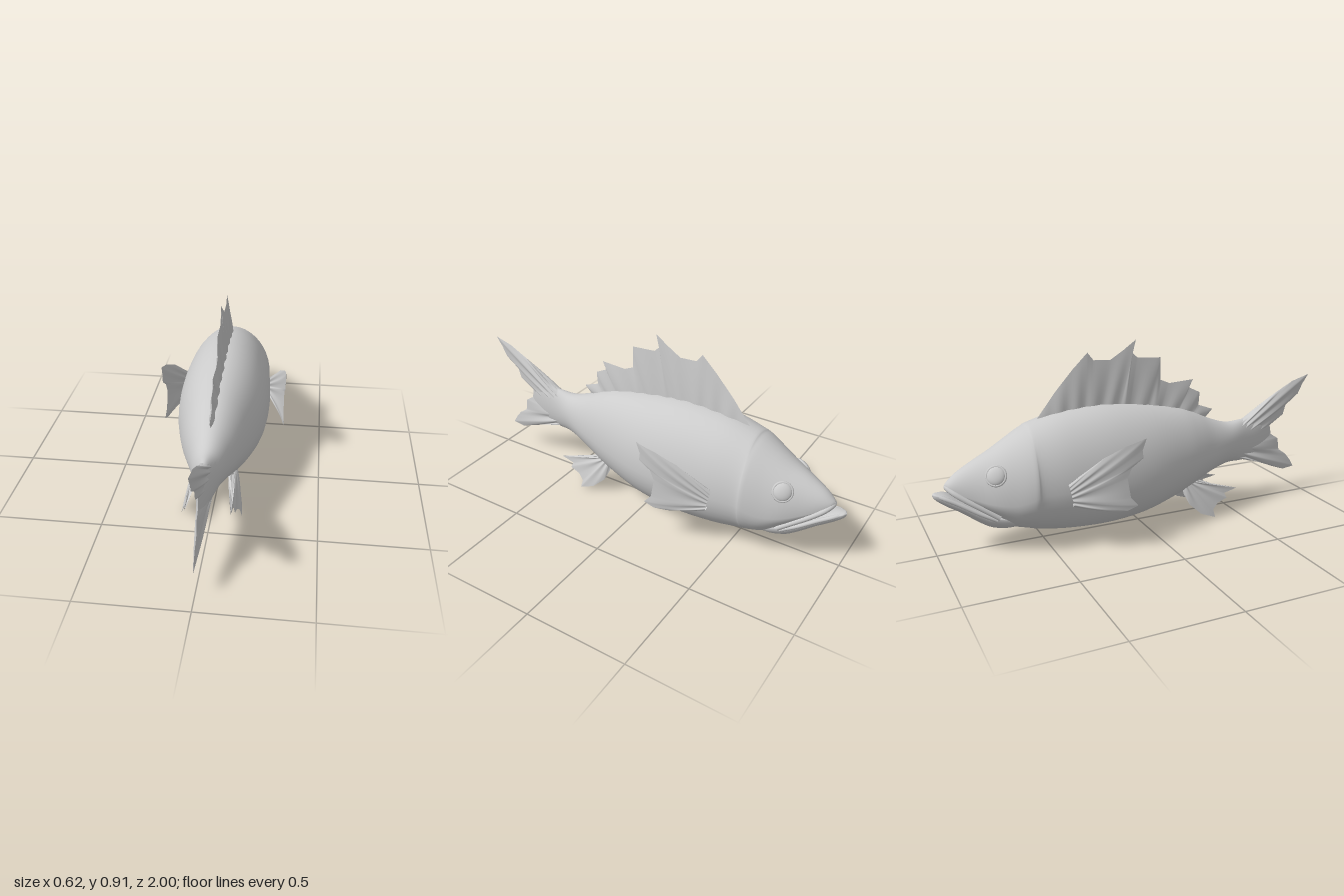
import * as THREE from 'three';

const material = new THREE.MeshStandardMaterial({ color: 0xcccccc, roughness: 0.8 });
const finMaterial = new THREE.MeshStandardMaterial({ color: 0xcccccc, roughness: 0.8, side: THREE.DoubleSide });

function addMesh(parent, name, geometry, mat = material) {
  const mesh = new THREE.Mesh(geometry, mat);
  mesh.name = name;
  parent.add(mesh);
  return mesh;
}

function gridGeometry(positions, indices) {
  const g = new THREE.BufferGeometry();
  g.setAttribute('position', new THREE.Float32BufferAttribute(positions, 3));
  g.setIndex(indices);
  g.computeVertexNormals();
  return g;
}

// Smooth loft through egg-shaped sections: [z, halfWidth, bottom, top, height of widest point 0..1]
function loft(sections, steps = 5, sides = 40) {
  const curve = (f) => new THREE.CatmullRomCurve3(sections.map(f), false, 'catmullrom', 0.5);
  const outline = curve(([z, , bottom, top]) => new THREE.Vector3(z, bottom, top));
  const girth = curve(([, w, , , m = 0.43]) => new THREE.Vector3(w, m, 0));
  const rows = (sections.length - 1) * steps;
  const pos = [], idx = [];
  for (let i = 0; i <= rows; i++) {
    const o = outline.getPoint(i / rows), g = girth.getPoint(i / rows);
    const mid = o.y + (o.z - o.y) * g.y;
    for (let j = 0; j < sides; j++) {
      const a = (j / sides) * Math.PI * 2, s = Math.sin(a);
      pos.push(g.x * Math.cos(a), mid + s * (s > 0 ? o.z - mid : mid - o.y), o.x);
      if (i < rows) {
        const k = (j + 1) % sides, p = i * sides, q = p + sides;
        idx.push(p + j, p + k, q + j, p + k, q + k, q + j);
      }
    }
  }
  return gridGeometry(pos, idx);
}

// Fin with rays from a straight base to a jagged edge, points as [z, y]; bend gives x
function fin(base, edge, { thick = 0.014, rays = 9, bend = () => 0 } = {}) {
  const pts = [], cells = 10, per = 6;
  for (let i = 0; i < edge.length - 1; i++)
    for (let k = 0; k < per; k++)
      pts.push(new THREE.Vector2(...edge[i]).lerp(new THREE.Vector2(...edge[i + 1]), k / per));
  pts.push(new THREE.Vector2(...edge[edge.length - 1]));
  const run = [0];
  for (let i = 1; i < pts.length; i++) run.push(run[i - 1] + pts[i].distanceTo(pts[i - 1]));
  const a = new THREE.Vector2(...base[0]), b = new THREE.Vector2(...base[1]);
  const pos = [], idx = [];
  for (const side of [1, -1]) {
    const start = pos.length / 3;
    pts.forEach((tip, i) => {
      const u = run[i] / run[run.length - 1];
      const root = a.clone().lerp(b, u);
      const body = Math.min(1, 0.15 + 10 * u, 0.15 + 10 * (1 - u)) * (1 + 0.2 * Math.sin(u * rays * Math.PI * 2));
      for (let j = 0; j <= cells; j++) {
        const v = j / cells, p = root.clone().lerp(tip, v);
        const half = thick * body * (1 - Math.pow(v, 1.7));
        pos.push(bend(p.x, p.y) + side * half, p.y, p.x);
        if (i < pts.length - 1 && j < cells) {
          const p0 = start + i * (cells + 1) + j, p1 = p0 + cells + 1;
          if (side > 0) idx.push(p0, p0 + 1, p1, p1, p0 + 1, p1 + 1);
          else idx.push(p0, p1, p0 + 1, p1, p1 + 1, p0 + 1);
        }
      }
    });
  }
  return gridGeometry(pos, idx);
}

// Lip running round the snout from one mouth corner to the other, half given as [x, y, z]
function lip(half, radius) {
  const left = half.map((p) => new THREE.Vector3(...p));
  const right = left.slice(1).reverse().map((p) => new THREE.Vector3(-p.x, p.y, p.z));
  return new THREE.TubeGeometry(new THREE.CatmullRomCurve3([...right, ...left]), 60, radius, 10);
}

export function createModel() {
  const fish = new THREE.Group();
  fish.name = 'fish';

  // Body with head, gill-cover step and tail stalk
  addMesh(fish, 'body', loft([
    [-0.945, 0.003, 0.322, 0.336, 0.3], [-0.93, 0.03, 0.308, 0.352, 0.3], [-0.89, 0.06, 0.275, 0.385, 0.25],
    [-0.82, 0.1, 0.225, 0.425, 0.25], [-0.74, 0.145, 0.165, 0.465, 0.3], [-0.66, 0.178, 0.105, 0.512, 0.36],
    [-0.6, 0.2, 0.085, 0.547, 0.4], [-0.57, 0.207, 0.076, 0.562], [-0.54, 0.203, 0.067, 0.577],
    [-0.4, 0.22, 0.045, 0.612], [-0.2, 0.228, 0.037, 0.625], [0, 0.213, 0.06, 0.605],
    [0.2, 0.168, 0.12, 0.565], [0.3, 0.138, 0.165, 0.53], [0.4, 0.103, 0.208, 0.483],
    [0.5, 0.07, 0.233, 0.451, 0.5], [0.6, 0.04, 0.233, 0.455, 0.5], [0.7, 0.02, 0.25, 0.45, 0.5],
    [0.77, 0.003, 0.3, 0.41, 0.5],
  ]));

  // Protruding lower jaw
  addMesh(fish, 'lowerJaw', loft([
    [-1, 0.003, 0.29, 0.3, 0.7], [-0.985, 0.024, 0.27, 0.304, 0.75], [-0.94, 0.047, 0.235, 0.295, 0.75],
    [-0.88, 0.072, 0.198, 0.262, 0.75], [-0.8, 0.095, 0.138, 0.22, 0.75], [-0.74, 0.112, 0.107, 0.2, 0.75],
    [-0.66, 0.12, 0.1, 0.2, 0.6], [-0.58, 0.08, 0.12, 0.2, 0.5],
  ]));

  // Lips
  addMesh(fish, 'upperLip', lip([[0, 0.325, -0.935], [0.04, 0.308, -0.915], [0.074, 0.27, -0.86],
    [0.1, 0.225, -0.79], [0.118, 0.185, -0.73]], 0.013));
  addMesh(fish, 'lowerLip', lip([[0, 0.294, -0.985], [0.034, 0.285, -0.955], [0.062, 0.253, -0.89],
    [0.09, 0.207, -0.81], [0.11, 0.172, -0.74]], 0.01));

  // Dorsal fin with spiny edge
  addMesh(fish, 'dorsalFin', fin([[-0.5, 0.57], [0.36, 0.48]], [
    [-0.505, 0.59], [-0.42, 0.7], [-0.33, 0.8], [-0.255, 0.873], [-0.225, 0.835], [-0.14, 0.83], [-0.075, 0.87],
    [-0.01, 0.915], [-0.03, 0.855], [0, 0.828], [0.12, 0.82], [0.12, 0.71], [0.17, 0.688], [0.3, 0.695],
    [0.28, 0.655], [0.34, 0.625], [0.335, 0.56], [0.415, 0.53], [0.37, 0.485],
  ], { thick: 0.017, rays: 11 }), finMaterial);

  // Forked tail fin
  addMesh(fish, 'tailFin', fin([[0.56, 0.44], [0.56, 0.245]], [
    [0.61, 0.457], [0.69, 0.497], [0.8, 0.577], [0.9, 0.627], [1, 0.655], [0.965, 0.605], [0.94, 0.555], [0.865, 0.5],
    [0.85, 0.45], [0.77, 0.4], [0.78, 0.35], [0.825, 0.32], [0.835, 0.257], [0.88, 0.225], [0.91, 0.19],
    [0.935, 0.148], [0.87, 0.14], [0.8, 0.165], [0.72, 0.2], [0.61, 0.232],
  ], { thick: 0.026, rays: 8 }), finMaterial);

  for (const side of [1, -1]) {
    const label = side > 0 ? 'left' : 'right';

    // Pectoral fin, swept back and curving away from the flank
    addMesh(fish, label + 'PectoralFin', fin([[-0.44, 0.33], [-0.42, 0.225]], [
      [-0.4, 0.365], [-0.29, 0.455], [-0.2, 0.5], [-0.1, 0.53], [-0.12, 0.475], [-0.115, 0.44], [-0.17, 0.4],
      [-0.19, 0.35], [-0.175, 0.257], [-0.14, 0.215], [-0.19, 0.195], [-0.26, 0.197], [-0.38, 0.215],
    ], {
      thick: 0.012, rays: 6,
      bend: (z) => side * (0.21 + 0.1 * Math.sin(((z + 0.45) / 0.35) * Math.PI / 2)),
    }), finMaterial);

    // Pelvic fin, splayed outward below the belly
    addMesh(fish, label + 'PelvicFin', fin([[0.3, 0.195], [0.2, 0.175]], [
      [0.35, 0.175], [0.42, 0.14], [0.51, 0.125], [0.435, 0.11], [0.445, 0.085], [0.39, 0.068], [0.36, 0.04],
      [0.365, 0.003], [0.29, 0.03], [0.23, 0.085], [0.205, 0.14],
    ], { thick: 0.014, rays: 5, bend: (z, y) => side * (0.085 + (0.19 - y) * 0.32) }), finMaterial);

    // Eye: shallow dome in a thin rim, facing out of the head
    const eye = new THREE.Group();
    eye.name = label + 'Eye';
    eye.position.set(side * 0.115, 0.385, -0.738);
    eye.quaternion.setFromUnitVectors(new THREE.Vector3(0, 0, 1),
      new THREE.Vector3(side * 0.8, 0.42, -0.42).normalize());
    addMesh(eye, 'eyeball', new THREE.SphereGeometry(0.042, 28, 18)).scale.z = 0.42;
    addMesh(eye, 'eyeRim', new THREE.TorusGeometry(0.043, 0.006, 10, 36));
    fish.add(eye);
  }
  return fish;
}
